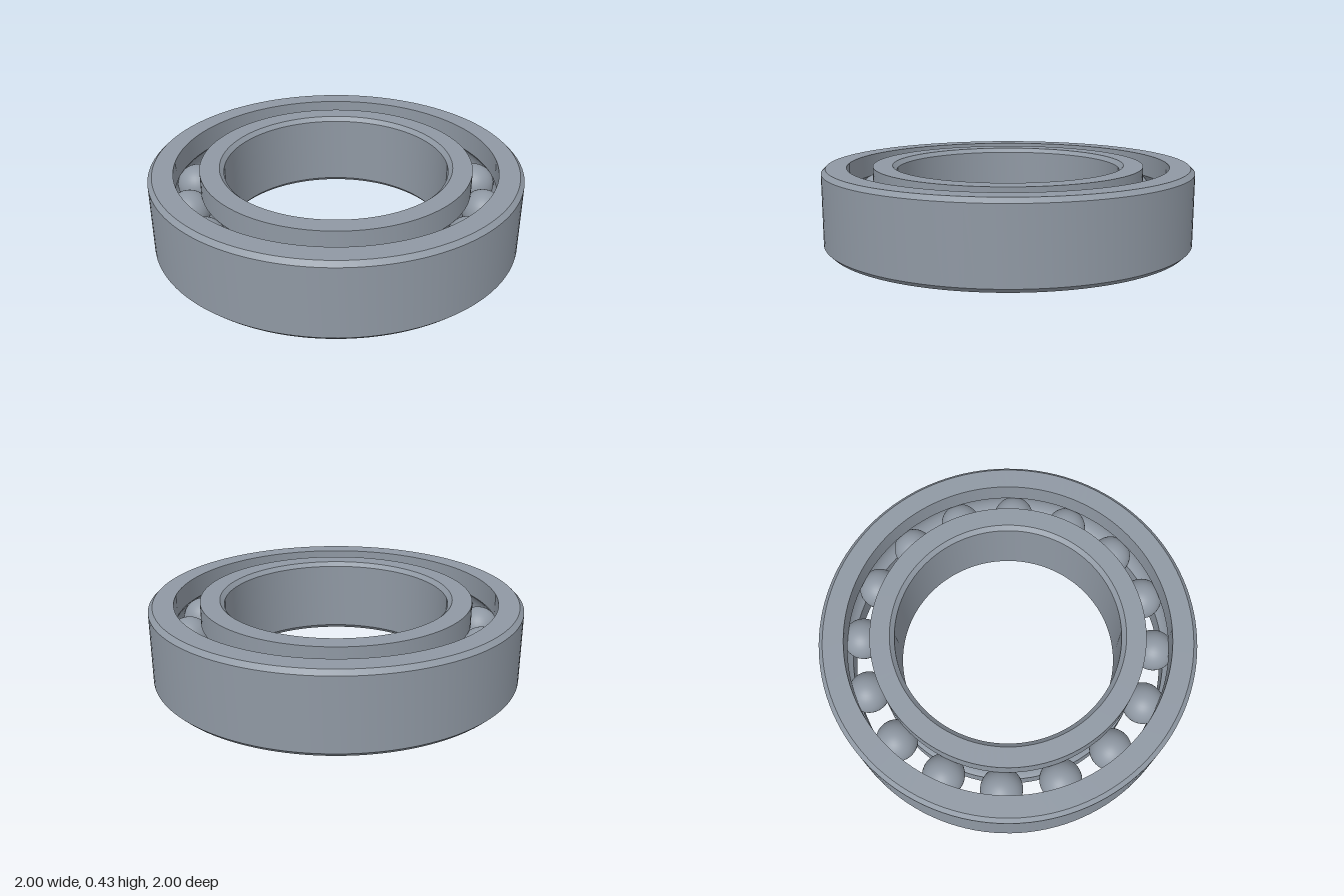
import * as THREE from 'three';
import { toCreasedNormals } from 'three/addons/utils/BufferGeometryUtils.js';

const HEIGHT = 0.428, MID = HEIGHT / 2;
const PITCH = 0.798, BALL_RADIUS = 0.112, GROOVE_RADIUS = 0.114;
const BALL_COUNT = 16, CHAMFER = 0.023;

// Arc of the ball groove, from one race lip to the other
function groove(lipRadius, steps = 14) {
  const half = Math.acos(Math.abs(lipRadius - PITCH) / GROOVE_RADIUS);
  const middle = lipRadius > PITCH ? 0 : Math.PI;
  return Array.from({ length: steps + 1 }, (_, i) => {
    const a = middle + half * (1 - (2 * i) / steps);
    return [PITCH + GROOVE_RADIUS * Math.cos(a), MID + GROOVE_RADIUS * Math.sin(a)];
  });
}

// Turn a closed counter-clockwise profile into a ring with crisp edges
function ring(name, profile, material) {
  const points = [...profile, profile[0]].map(([r, y]) => new THREE.Vector2(r, y));
  const geometry = toCreasedNormals(new THREE.LatheGeometry(points, 128), Math.PI / 7);
  const mesh = new THREE.Mesh(geometry, material);
  mesh.name = name;
  return mesh;
}

export function createModel() {
  const model = new THREE.Group();
  model.name = 'ballBearing';
  const steel = new THREE.MeshStandardMaterial({ color: 0x8f98a3 });
  steel.name = 'steel';

  // Outer ring: chamfered outside, grooved inside
  const outer = 1, outerLip = 0.867;
  model.add(ring('outerRing', [
    [outer - CHAMFER, 0], [outer, CHAMFER],
    [outer, HEIGHT - CHAMFER], [outer - CHAMFER, HEIGHT],
    [outerLip, HEIGHT], ...groove(outerLip), [outerLip, 0],
  ], steel));

  // Inner ring: grooved outside, chamfered bore
  const bore = 0.602, innerLip = 0.73;
  model.add(ring('innerRing', [
    [innerLip, 0], ...groove(innerLip), [innerLip, HEIGHT],
    [bore + CHAMFER, HEIGHT], [bore, HEIGHT - CHAMFER],
    [bore, CHAMFER], [bore + CHAMFER, 0],
  ], steel));

  // Balls evenly spaced around the pitch circle
  const balls = new THREE.Group();
  balls.name = 'balls';
  const sphere = new THREE.SphereGeometry(BALL_RADIUS, 32, 20);
  for (let i = 0; i < BALL_COUNT; i++) {
    const a = THREE.MathUtils.degToRad(11.8) + (i / BALL_COUNT) * Math.PI * 2;
    const ball = new THREE.Mesh(sphere, steel);
    ball.name = `ball${i + 1}`;
    ball.position.set(PITCH * Math.cos(a), MID, PITCH * Math.sin(a));
    balls.add(ball);
  }
  model.add(balls);
  return model;
}
